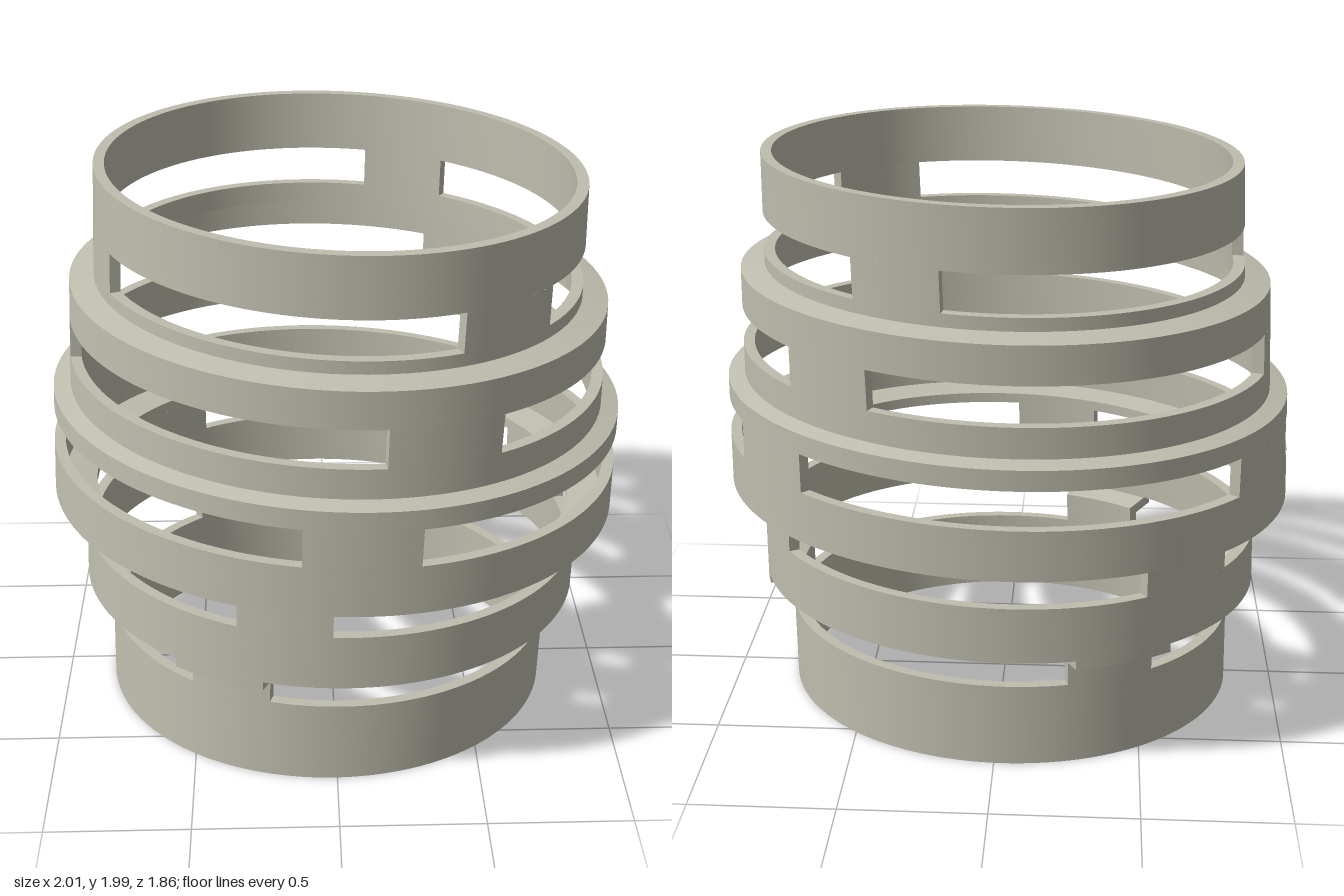
import * as THREE from 'three';
import { toCreasedNormals } from 'three/addons/utils/BufferGeometryUtils.js';

const RAD = Math.PI / 180;
const HEIGHT = 1.99;
const RATIO = 0.887; // minor / major radius of the oval
const WALL = 0.04;

// Stepped wall: [major radius, y]
const OUTER = [
  [0.811, 0], [0.811, 0.39], [0.903, 0.41], [0.903, 0.785], [1.017, 0.8],
  [1.017, 1.19], [0.956, 1.205], [0.956, 1.583], [0.868, 1.6], [0.868, HEIGHT],
];
// Inner wall follows at wall thickness; the ledges keep some thickness too
const INNER = OUTER.map(([r, y], i) => {
  if (i === 0 || i === OUTER.length - 1) return [r - WALL, y];
  return [r - WALL, y + (y < 1 ? 0.03 : -0.03)];
});

// Slots: [bottom, top]
const SLOTS = [[0.305, 0.443], [0.647, 0.776], [0.98, 1.118], [1.312, 1.45], [1.645, 1.782]];

function radiusAt(profile, y) {
  for (let i = 1; i < profile.length; i++) {
    const [r0, y0] = profile[i - 1], [r1, y1] = profile[i];
    if (y <= y1) return r0 + (r1 - r0) * (y - y0) / (y1 - y0);
  }
  return profile[profile.length - 1][0];
}

// Point on the leaning, twisting oval wall
function wallPoint(profile, y, angle) {
  const a = radiusAt(profile, y), b = a * RATIO;
  const t = angle - (3 + 20.5 * y) * RAD;
  const r = a * b / Math.hypot(b * Math.cos(t), a * Math.sin(t));
  return [
    -0.02 + 0.02 * y + r * Math.cos(angle),
    y,
    0.027 - 0.021 * y + r * Math.sin(angle),
  ];
}

// Heights needed to follow the steps and the twist between y0 and y1
function levelsBetween(y0, y1) {
  const ys = [y0, y1];
  for (const [, y] of [...OUTER, ...INNER]) if (y > y0 + 1e-4 && y < y1 - 1e-4) ys.push(y);
  const n = Math.ceil((y1 - y0) / 0.06);
  for (let i = 1; i < n; i++) ys.push(y0 + (y1 - y0) * i / n);
  return [...new Set(ys.map((y) => +y.toFixed(4)))].sort((p, q) => p - q);
}

// Piece of wall swept from angle a0 to a1; a full turn has no end faces
function wallPiece(y0, y1, a0, a1, steps, full) {
  const ys = levelsBetween(y0, y1), n = ys.length, count = 2 * n;
  const positions = [], index = [];
  for (let j = 0; j <= steps; j++) {
    const angle = a0 + (a1 - a0) * j / steps;
    for (let i = 0; i < n; i++) positions.push(...wallPoint(OUTER, ys[i], angle));
    for (let i = n - 1; i >= 0; i--) positions.push(...wallPoint(INNER, ys[i], angle));
  }
  const quad = (a, b, c, d) => index.push(a, b, c, a, c, d);
  for (let j = 0; j < steps; j++) {
    for (let i = 0; i < count; i++) {
      const rim = i === n - 1 || i === count - 1;
      if (rim && !full) continue;
      const k = (i + 1) % count, p = j * count, q = p + count;
      quad(p + i, p + k, q + k, q + i);
    }
  }
  if (!full) {
    const e = steps * count;
    for (let i = 0; i < n - 1; i++) {
      const u = count - 1 - i;
      quad(i, u, u - 1, i + 1);
      quad(e + i, e + i + 1, e + u - 1, e + u);
    }
  }
  const geometry = new THREE.BufferGeometry();
  geometry.setAttribute('position', new THREE.Float32BufferAttribute(positions, 3));
  geometry.setIndex(index);
  return toCreasedNormals(geometry, 25 * RAD);
}

export function createModel() {
  const model = new THREE.Group();
  model.name = 'slottedShell';
  const stone = new THREE.MeshStandardMaterial({ color: 0xbfbdae });
  stone.name = 'warmGrey';

  const add = (name, geometry) => {
    const mesh = new THREE.Mesh(geometry, stone);
    mesh.name = name;
    model.add(mesh);
  };

  // Solid rings between the slots
  for (let i = 0; i <= SLOTS.length; i++) {
    const bottom = i ? SLOTS[i - 1][1] : 0;
    const top = i < SLOTS.length ? SLOTS[i][0] : HEIGHT;
    add(`ring${i + 1}`, wallPiece(bottom, top, 0, Math.PI * 2, 128, true));
  }

  // Three pillars bridge each slot, turning further round on every row
  SLOTS.forEach(([bottom, top], row) => {
    for (let k = 0; k < 3; k++) {
      const centre = (119.3 - 16.8 * row + 120 * k) * RAD;
      const half = 11.8 * RAD;
      add(`pillar${row + 1}_${k + 1}`, wallPiece(bottom, top, centre - half, centre + half, 10, false));
    }
  });

  return model;
}
